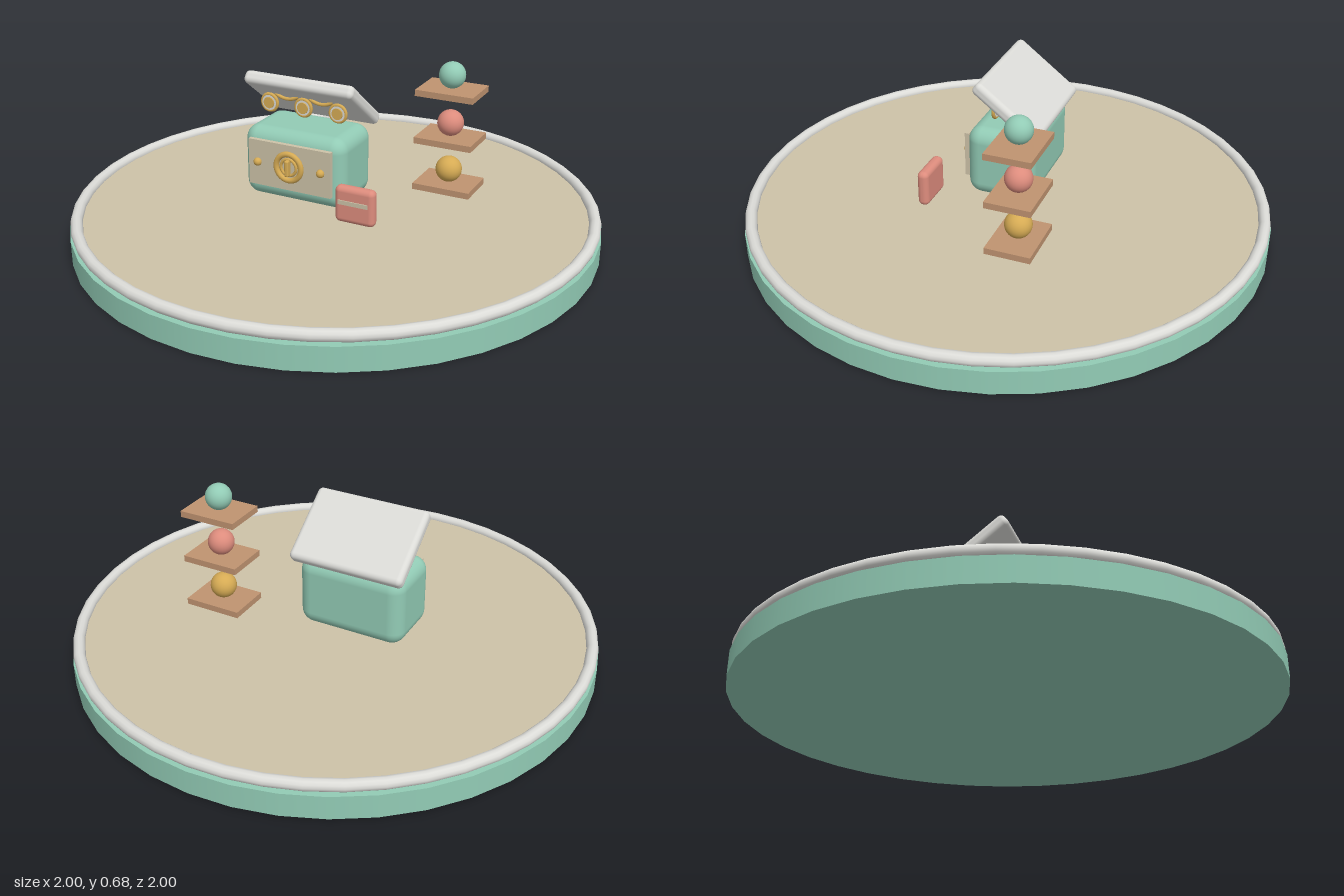
import * as THREE from 'three';
import { RoundedBoxGeometry } from 'three/addons/geometries/RoundedBoxGeometry.js';

const paint = (name, color) => {
  const m = new THREE.MeshStandardMaterial({ color });
  m.name = name;
  return m;
};

export function createModel() {
  const teal = paint('teal', 0x92cbb5);
  const cream = paint('cream', 0xcdc2a8);
  const silver = paint('pale grey', 0xdcdcd8);
  const gold = paint('gold', 0xd6ab54);
  const coral = paint('coral', 0xdd8c7d);
  const wood = paint('wood', 0xbf9370);

  const model = new THREE.Group();
  model.name = 'displayStand';
  const add = (parent, name, geometry, material, x = 0, y = 0, z = 0) => {
    const mesh = new THREE.Mesh(geometry, material);
    mesh.name = name;
    mesh.position.set(x, y, z);
    parent.add(mesh);
    return mesh;
  };
  const group = (name, x, y, z) => {
    const g = new THREE.Group();
    g.name = name;
    g.position.set(x, y, z);
    model.add(g);
    return g;
  };
  // Cylinder whose flat faces look along z
  const disc = (radius, depth) => new THREE.CylinderGeometry(radius, radius, depth, 28).rotateX(Math.PI / 2);

  // Round platform with floor and rim
  add(model, 'platform', new THREE.CylinderGeometry(1, 1, 0.09, 40), teal, 0, 0.045, 0);
  add(model, 'floor', new THREE.CylinderGeometry(0.965, 0.965, 0.025, 40), cream, 0, 0.1, 0);
  add(model, 'rim', new THREE.TorusGeometry(0.974, 0.022, 12, 48).rotateX(Math.PI / 2), silver, 0, 0.115, 0);

  // Box body with front panel
  const box = group('box', -0.118, 0, 0);
  add(box, 'body', new RoundedBoxGeometry(0.425, 0.278, 0.266, 5, 0.055), teal, 0, 0.276, 0.003);
  add(box, 'frontPanel', new THREE.BoxGeometry(0.346, 0.18, 0.018), cream, 0, 0.286, 0.144);

  // Dial: ring, inner ring and upright handle
  add(box, 'dialRing', new THREE.TorusGeometry(0.052, 0.011, 10, 36), gold, 0, 0.29, 0.156);
  add(box, 'dialHub', new THREE.TorusGeometry(0.032, 0.006, 8, 28), gold, 0, 0.29, 0.156);
  add(box, 'dialHandle', new RoundedBoxGeometry(0.017, 0.064, 0.026, 3, 0.006), gold, 0, 0.29, 0.165);
  for (const side of [-1, 1]) {
    add(box, 'panelStud', new THREE.SphereGeometry(0.016, 16, 12), gold, side * 0.133, 0.29, 0.156);
  }

  // Tilted open lid
  const lid = add(box, 'lid', new RoundedBoxGeometry(0.454, 0.052, 0.306, 4, 0.02), silver, 0.003, 0.51, -0.03);
  lid.rotation.x = -0.646;

  // Row of round medallions under the lid
  for (const i of [-1, 0, 1]) {
    const x = i * 0.145;
    add(box, 'medallionRing', new THREE.TorusGeometry(0.032, 0.007, 8, 28), gold, x, 0.488, 0.035);
    add(box, 'medallionFace', disc(0.031, 0.012), silver, x, 0.488, 0.035);
    add(box, 'medallionCentre', disc(0.022, 0.022), gold, x, 0.488, 0.035);
  }

  // Sagging links between the medallions
  for (const side of [-1, 1]) {
    const x = side * 0.0725;
    const curve = new THREE.QuadraticBezierCurve3(
      new THREE.Vector3(x - 0.05, 0.525, 0.03),
      new THREE.Vector3(x, 0.495, 0.03),
      new THREE.Vector3(x + 0.05, 0.525, 0.03));
    add(box, 'link', new THREE.TubeGeometry(curve, 12, 0.007, 8), gold);
  }

  // Small upright card with a pale strip
  const card = group('card', 0.198, 0.232, 0.232);
  add(card, 'cardBody', new RoundedBoxGeometry(0.155, 0.14, 0.044, 4, 0.02), coral);
  add(card, 'cardStrip', new THREE.BoxGeometry(0.115, 0.016, 0.008), cream, -0.002, 0.012, 0.022);

  // Three floating shelves, each holding a ball
  const shelves = group('shelves', 0.384, 0, -0.19);
  [gold, coral, teal].forEach((material, i) => {
    const top = 0.204 + i * 0.186;
    add(shelves, 'shelf', new THREE.BoxGeometry(0.225, 0.024, 0.17), wood, 0, top - 0.012, 0);
    add(shelves, 'ball', new THREE.SphereGeometry(0.05, 28, 20), material, 0, top + 0.049, 0);
  });

  return model;
}
